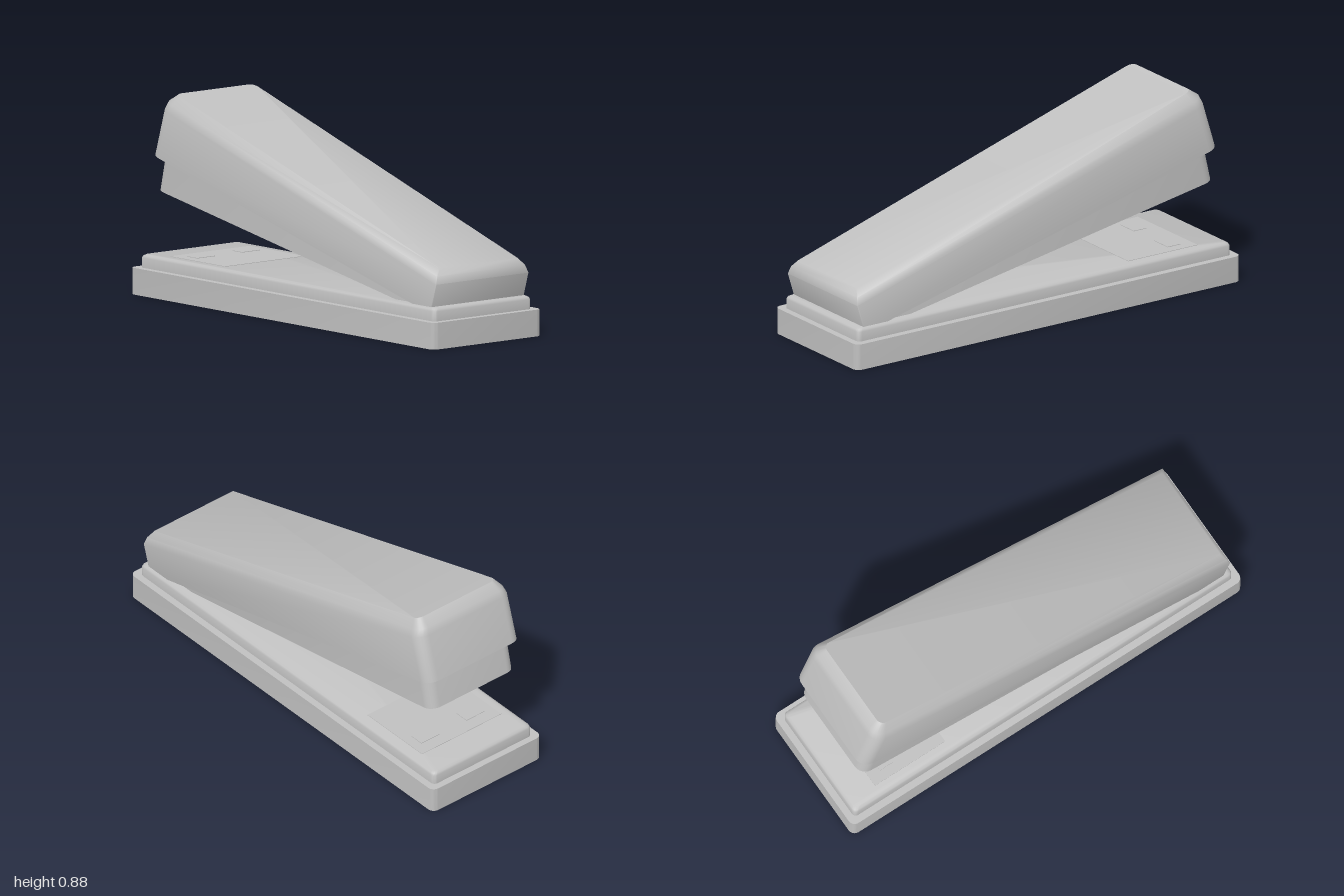
import * as THREE from 'three';
import { toCreasedNormals } from 'three/addons/utils/BufferGeometryUtils.js';

const STEPS = 6;

// Plan outline, counterclockwise from above; the height slopes from front to back.
function loop({ w, front, back, rf = 0.004, rb }) {
  const [zf, yf] = front, [zb, yb] = back;
  const corners = [
    [-w + rf, zf - rf, rf, Math.PI], [w - rf, zf - rf, rf, Math.PI * 1.5],
    [w - rb, zb + rb, rb, 0], [-w + rb, zb + rb, rb, Math.PI / 2],
  ];
  const points = [];
  for (const [cx, cz, r, start] of corners) {
    for (let i = 0; i <= STEPS; i++) {
      const a = start + (i / STEPS) * Math.PI / 2;
      const z = cz - r * Math.sin(a);
      points.push([cx + r * Math.cos(a), yf + (yb - yf) * (zf - z) / (zf - zb), z]);
    }
  }
  return points;
}

// Closed solid through a stack of loops, from bottom to top.
function loft(levels, crease = 0.7) {
  const loops = levels.map(loop), n = loops[0].length;
  const index = [], last = (loops.length - 1) * n;
  for (let k = 0; k < loops.length - 1; k++) {
    for (let i = 0; i < n; i++) {
      const a = k * n + i, b = k * n + (i + 1) % n;
      index.push(a, b, b + n, a, b + n, a + n);
    }
  }
  for (let i = 1; i < n - 1; i++) {
    index.push(0, i + 1, i, last, last + i, last + i + 1);
  }
  const geometry = new THREE.BufferGeometry();
  geometry.setAttribute('position', new THREE.Float32BufferAttribute(loops.flat(2), 3));
  geometry.setIndex(index);
  return toCreasedNormals(geometry, crease);
}

// Level of a flat slab centred on the origin.
const flat = (w, l, y, r) => ({ w, front: [l, y], back: [-l, y], rf: r, rb: r });

export function createModel() {
  const model = new THREE.Group();
  model.name = 'stapler';
  const grey = new THREE.MeshStandardMaterial({ color: 0xc0c0c0 });
  grey.name = 'plain grey';

  const add = (name, geometry, parent = model) => {
    const mesh = new THREE.Mesh(geometry, grey);
    mesh.name = name;
    parent.add(mesh);
    return mesh;
  };

  // Foot and the bevelled tray on it
  add('base', loft([flat(0.303, 1, 0, 0.03), flat(0.303, 1, 0.115, 0.03)]));
  add('baseTray', loft([
    flat(0.272, 0.97, 0.11, 0.02), flat(0.272, 0.97, 0.157, 0.02),
    flat(0.268, 0.966, 0.166, 0.02), flat(0.258, 0.956, 0.172, 0.02),
  ]));

  // Anvil plate with its two staple pads
  const anvil = new THREE.Group();
  anvil.name = 'anvil';
  model.add(anvil);
  add('anvilPlate', new THREE.BoxGeometry(0.44, 0.006, 0.36), anvil).position.set(0, 0.171, -0.65);
  for (const side of [-1, 1]) {
    add(side > 0 ? 'leftPad' : 'rightPad', new THREE.BoxGeometry(0.1, 0.004, 0.065), anvil)
      .position.set(side * 0.125, 0.1745, -0.74);
  }

  // Staple magazine, a thin wedge below the arm
  add('magazine', loft([
    { w: 0.235, front: [0.9, 0.131], back: [-0.91, 0.455], rb: 0.05 },
    { w: 0.235, front: [0.9, 0.14], back: [-0.88, 0.586], rb: 0.05 },
  ]));

  // Upper arm with rounded shoulders
  add('arm', loft([
    { w: 0.258, front: [0.925, 0.142], back: [-0.92, 0.609], rb: 0.055 },
    { w: 0.258, front: [0.965, 0.272], back: [-0.857, 0.815], rb: 0.055 },
    { w: 0.246, front: [0.957, 0.305], back: [-0.843, 0.846], rb: 0.05 },
    { w: 0.218, front: [0.94, 0.336], back: [-0.8, 0.875], rb: 0.03 },
  ], 0.8));

  return model;
}
